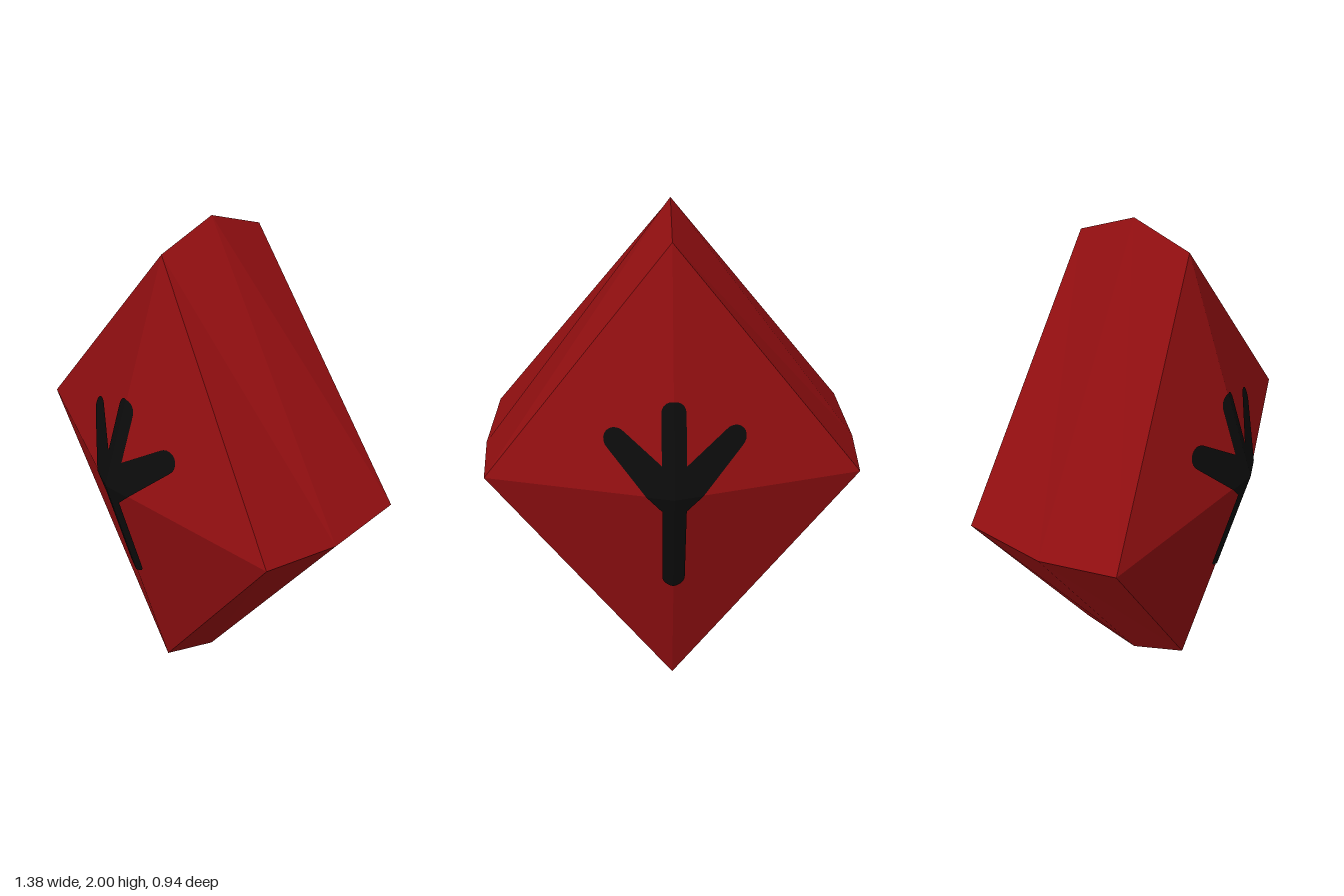
import * as THREE from 'three';

const red = new THREE.MeshStandardMaterial({ color: 0x8f0e10, flatShading: true });
red.name = 'deep red';
const black = new THREE.MeshStandardMaterial({ color: 0x0b0b0b, flatShading: true });
black.name = 'black';

// Diamond outlines, counter-clockwise seen from the front: right, top, left, bottom
const girdle = [[0.69, 1.065, 0], [0, 2, 0], [-0.69, 1.065, 0], [0, 0, 0]];
const rim = [[0.665, 1.09, 0.28], [0, 1.92, 0.2], [-0.665, 1.09, 0.28], [0, 0.085, 0.23]];
const apex = [0, 1.11, 0.465];
const facets = rim.map((p, i) => [apex, p, rim[(i + 1) % 4]]);

function meshFrom(name, triangles, material) {
  const geometry = new THREE.BufferGeometry();
  geometry.setAttribute('position', new THREE.Float32BufferAttribute(triangles.flat(2), 3));
  geometry.computeVertexNormals();
  const mesh = new THREE.Mesh(geometry, material);
  mesh.name = name;
  return mesh;
}

// Positive when p lies to the left of the line a-b
const side = (a, b, p) => (b[0] - a[0]) * (p[1] - a[1]) - (b[1] - a[1]) * (p[0] - a[0]);

// Keep the part of a convex outline that lies inside a triangle
function clip(outline, tri) {
  let result = outline;
  tri.forEach((a, i) => {
    const b = tri[(i + 1) % 3], kept = [];
    result.forEach((p, j) => {
      const q = result[(j + 1) % result.length];
      const sp = side(a, b, p), sq = side(a, b, q);
      if (sp >= 0) kept.push(p);
      if (sp * sq < 0) {
        const t = sp / (sp - sq);
        kept.push([p[0] + (q[0] - p[0]) * t, p[1] + (q[1] - p[1]) * t]);
      }
    });
    result = kept;
  });
  return result;
}

// Tapered stroke with round ends
function stroke(x0, y0, r0, x1, y1, r1) {
  const angle = Math.atan2(y1 - y0, x1 - x0), points = [];
  for (const [x, y, r, start] of [[x1, y1, r1, -Math.PI / 2], [x0, y0, r0, Math.PI / 2]]) {
    for (let i = 0; i <= 10; i++) {
      const a = angle + start + (i / 10) * Math.PI;
      points.push([x + r * Math.cos(a), y + r * Math.sin(a)]);
    }
  }
  return points;
}

// Lay a stroke over the four facets, just clear of the surface
function drape(outline) {
  const triangles = [];
  for (const facet of facets) {
    const [a, b, c] = facet.map((p) => new THREE.Vector3(...p));
    const n = b.clone().sub(a).cross(c.clone().sub(a));
    const lift = ([x, y]) => [x, y, a.z - (n.x * (x - a.x) + n.y * (y - a.y)) / n.z + 0.004];
    const points = clip(outline, facet).map(lift);
    for (let i = 1; i < points.length - 1; i++) triangles.push([points[0], points[i], points[i + 1]]);
  }
  return triangles;
}

export function createModel() {
  const model = new THREE.Group();
  model.name = 'crystal';

  // Pyramid face and bevelled edge, with the talon mark on it
  const bevel = girdle.flatMap((p, i) => {
    const j = (i + 1) % 4;
    return [[p, girdle[j], rim[j]], [p, rim[j], rim[i]]];
  });
  const strokes = {
    talonStem: stroke(0, 1.1, 0.042, 0, 0.69, 0.041),
    middleToe: stroke(0, 1.1, 0.042, 0, 1.39, 0.042),
    leftToe: stroke(0, 1.1, 0.068, 0.206, 1.285, 0.042),
    rightToe: stroke(0, 1.1, 0.068, -0.196, 1.285, 0.042),
  };

  // The back is the front turned half round
  for (const name of ['front', 'back']) {
    const half = new THREE.Group();
    half.name = name + 'Half';
    half.add(meshFrom('face', facets, red), meshFrom('bevel', bevel, red));
    for (const [part, outline] of Object.entries(strokes)) half.add(meshFrom(part, drape(outline), black));
    if (name === 'back') half.rotation.y = Math.PI;
    model.add(half);
  }
  return model;
}
